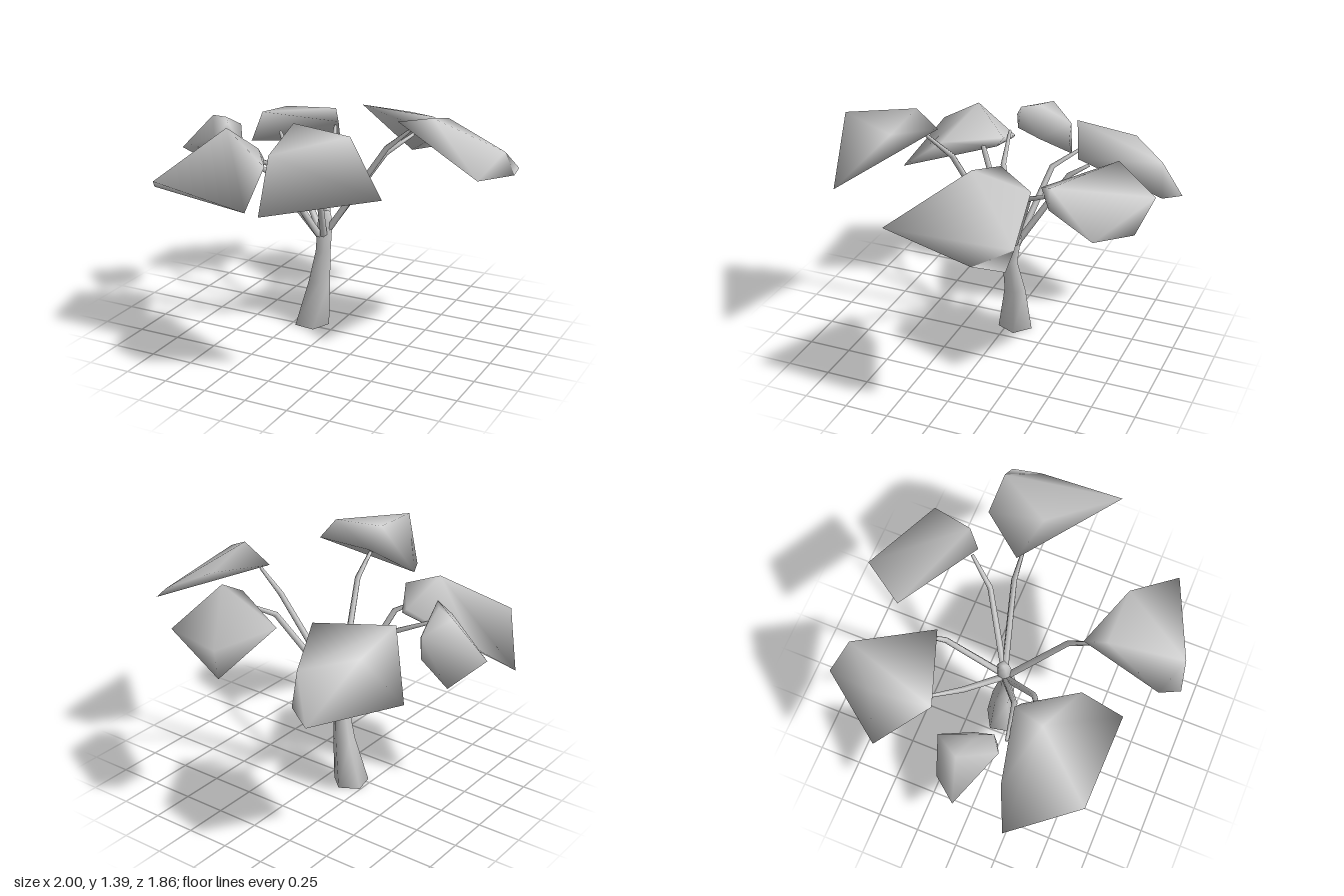
import * as THREE from 'three';
import { ConvexGeometry } from 'three/addons/geometries/ConvexGeometry.js';
import { mergeVertices } from 'three/addons/utils/BufferGeometryUtils.js';

const V = (p) => new THREE.Vector3(p[0], p[1], p[2]);

// Limb: a five-sided cylinder whose rings are moved onto path points [x, y, z, radius]
function limb(path, level) {
  const n = path.length - 1;
  const geo = new THREE.CylinderGeometry(1, 1, 1, 5, n, false, Math.PI / 6);
  const pos = geo.attributes.position;
  const up = new THREE.Vector3(0, 1, 0);
  const turns = path.map((p, i) => {
    const a = V(path[Math.max(i - 1, 0)]), b = V(path[Math.min(i + 1, n)]);
    const dir = level ? up : b.sub(a).normalize();
    return new THREE.Quaternion().setFromUnitVectors(up, dir);
  });
  for (let i = 0; i < pos.count; i++) {
    const k = Math.round((pos.getY(i) + 0.5) * n);
    const r = path[k][3];
    const v = new THREE.Vector3(pos.getX(i) * r, 0, pos.getZ(i) * r)
      .applyQuaternion(turns[k]).add(V(path[k]));
    pos.setXYZ(i, v.x, v.y, v.z);
  }
  // Share corners along the seam so the sides stay smooth
  geo.deleteAttribute('normal');
  geo.deleteAttribute('uv');
  const merged = mergeVertices(geo, 1e-4);
  merged.computeVertexNormals();
  return merged;
}

// Clump: a faceted solid around a few corners, with shared smooth normals
function clump(corners) {
  const geo = new ConvexGeometry(corners.map(V));
  geo.deleteAttribute('normal');
  const merged = mergeVertices(geo, 1e-4);
  merged.computeVertexNormals();
  return merged;
}

export function createModel() {
  const tree = new THREE.Group();
  tree.name = 'tree';
  const material = new THREE.MeshStandardMaterial({ color: 0xcccccc });
  const add = (name, geo) => {
    const mesh = new THREE.Mesh(geo, material);
    mesh.name = name;
    tree.add(mesh);
  };

  // Leaning, tapered trunk
  add('trunk', limb([
    [-0.149, 0, -0.047, 0.106], [-0.106, 0.28, -0.06, 0.066],
    [-0.07, 0.48, -0.04, 0.046], [-0.07, 0.65, -0.065, 0.045], [-0.07, 0.71, -0.065, 0.034],
  ], true));

  // Branches: start height, bend and tip of each, leaving the side of the trunk top
  const branches = {
    leftBranch: [0.61, [0.28, 1.12, -0.14], [0.42, 1.24, -0.14]],
    backLeftBranch: [0.61, [0.22, 1.05, -0.26], [0.33, 1.14, -0.41]],
    backBranch: [0.61, [-0.16, 1.05, -0.36], [-0.2, 1.11, -0.46]],
    backRightBranch: [0.57, [-0.37, 0.98, -0.18], [-0.5, 1.07, -0.32]],
    rightBranch: [0.56, [-0.33, 0.96, 0.11], [-0.57, 1.07, 0.165]],
    frontRightBranch: [0.56, [-0.27, 1.04, 0.2], [-0.38, 1.1, 0.28]],
    frontBranch: [0.57, [0.04, 1.14, 0.27], [0.06, 1.27, 0.45]],
  };
  for (const [name, [height, bend, tip]] of Object.entries(branches)) {
    const out = new THREE.Vector2(bend[0] + 0.07, bend[2] + 0.06).setLength(0.025);
    add(name, limb([
      [-0.07 + out.x, height, -0.06 + out.y, 0.021], [...bend, 0.017], [...tip, 0.01],
    ], false));
  }

  // Foliage clumps, given by their corners
  const clumps = {
    leftFoliage: [
      [0.345, 1.28, -0.15], [0.55, 1.265, -0.4], [0.88, 1.1, -0.44], [0.97, 1.02, -0.43],
      [1.0, 1.03, -0.26], [0.97, 1.135, 0.24], [0.58, 1.345, -0.085],
    ],
    backLeftFoliage: [
      [-0.115, 1.205, -0.66], [0.08, 1.12, -0.93], [0.56, 1.045, -0.74], [0.43, 1.245, -0.46],
      [0.35, 1.2, -0.38], [0.42, 1.11, -0.45], [0.14, 0.905, -0.84],
    ],
    backRightFoliage: [
      [-0.155, 1.155, -0.41], [-0.585, 1.2, -0.255], [-0.82, 0.92, -0.52], [-0.51, 0.865, -0.93],
      [-0.36, 0.9, -0.85], [-0.385, 1.11, -0.835], [-0.61, 1.15, -0.61],
    ],
    rightFoliage: [
      [-0.98, 1.0, 0.02], [-0.84, 0.86, -0.14], [-0.69, 1.13, -0.18], [-0.69, 1.0, -0.17],
      [-0.585, 1.04, -0.02], [-0.605, 1.22, 0.11], [-0.61, 1.08, 0.13], [-0.67, 1.14, 0.16],
      [-0.79, 1.21, -0.03], [-0.67, 1.225, 0.02],
    ],
    frontRightFoliage: [
      [-0.995, 0.835, 0.31], [-0.78, 0.95, 0.215], [-0.39, 1.1, 0.135], [-0.345, 1.06, 0.16],
      [-0.18, 1.105, 0.44], [-0.165, 0.92, 0.685], [-0.745, 1.01, 0.68], [-0.48, 1.26, 0.33],
    ],
    frontFoliage: [
      [0.03, 1.285, 0.36], [0.03, 1.39, 0.49], [0.36, 1.36, 0.49], [0.64, 1.12, 0.7],
      [0.06, 1.01, 0.93], [0.01, 1.0, 0.82], [0.11, 1.335, 0.9],
    ],
  };
  for (const [name, corners] of Object.entries(clumps)) add(name, clump(corners));

  return tree;
}
